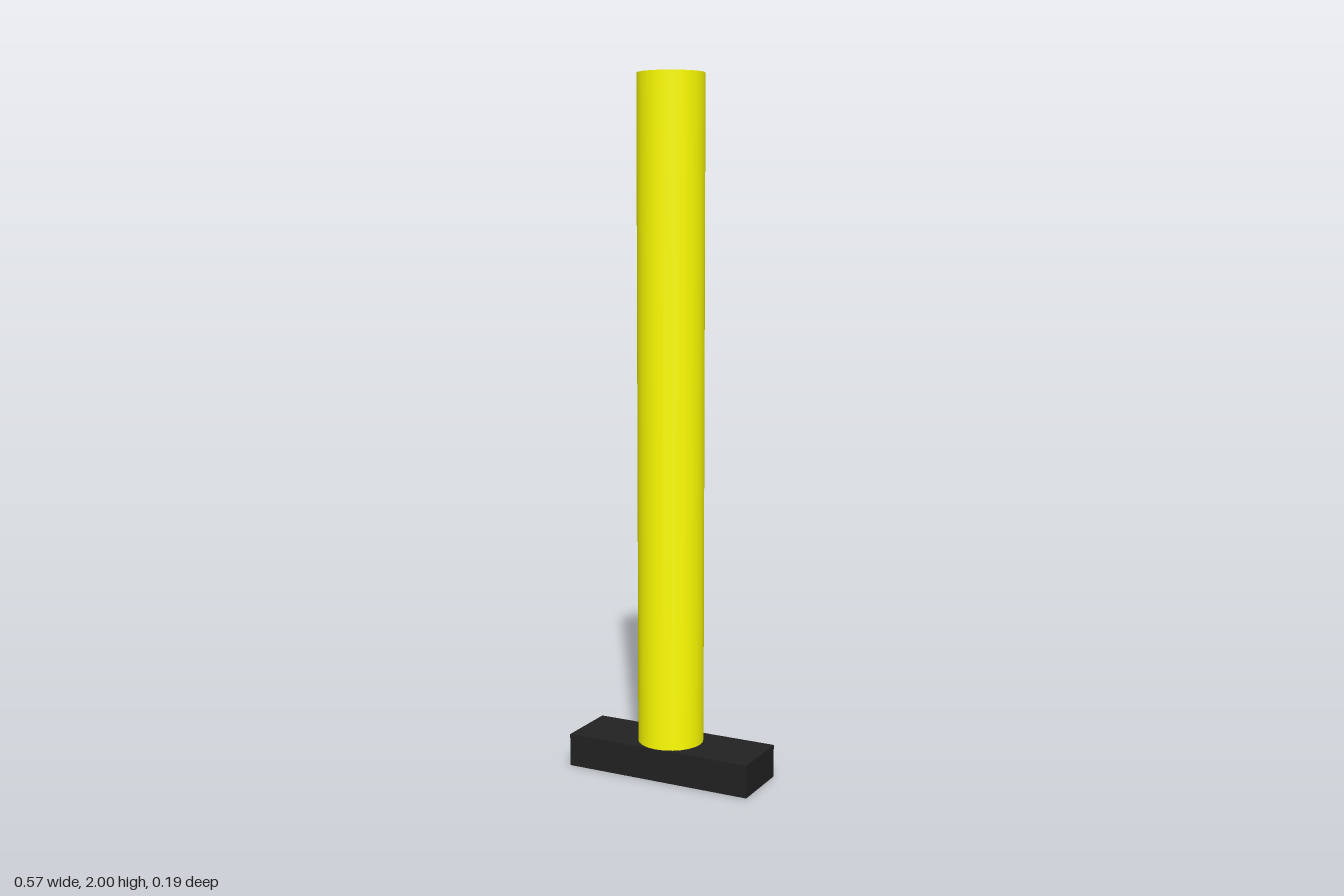
import * as THREE from 'three';

const U = 2 / 21; // one module: base is 6 x 1 x 2, post is 20 tall

export function createModel() {
  const model = new THREE.Group();
  model.name = 'post';

  const add = (name, geometry, color, y) => {
    const mesh = new THREE.Mesh(geometry, new THREE.MeshStandardMaterial({ color }));
    mesh.name = name;
    mesh.position.y = y;
    model.add(mesh);
  };

  // Dark rectangular foot
  add('base', new THREE.BoxGeometry(6 * U, U, 2 * U), 0x222222, U / 2);

  // Round yellow post standing on the foot
  add('pole', new THREE.CylinderGeometry(U, U, 20 * U, 24), 0xffff00, 11 * U);

  return model;
}
